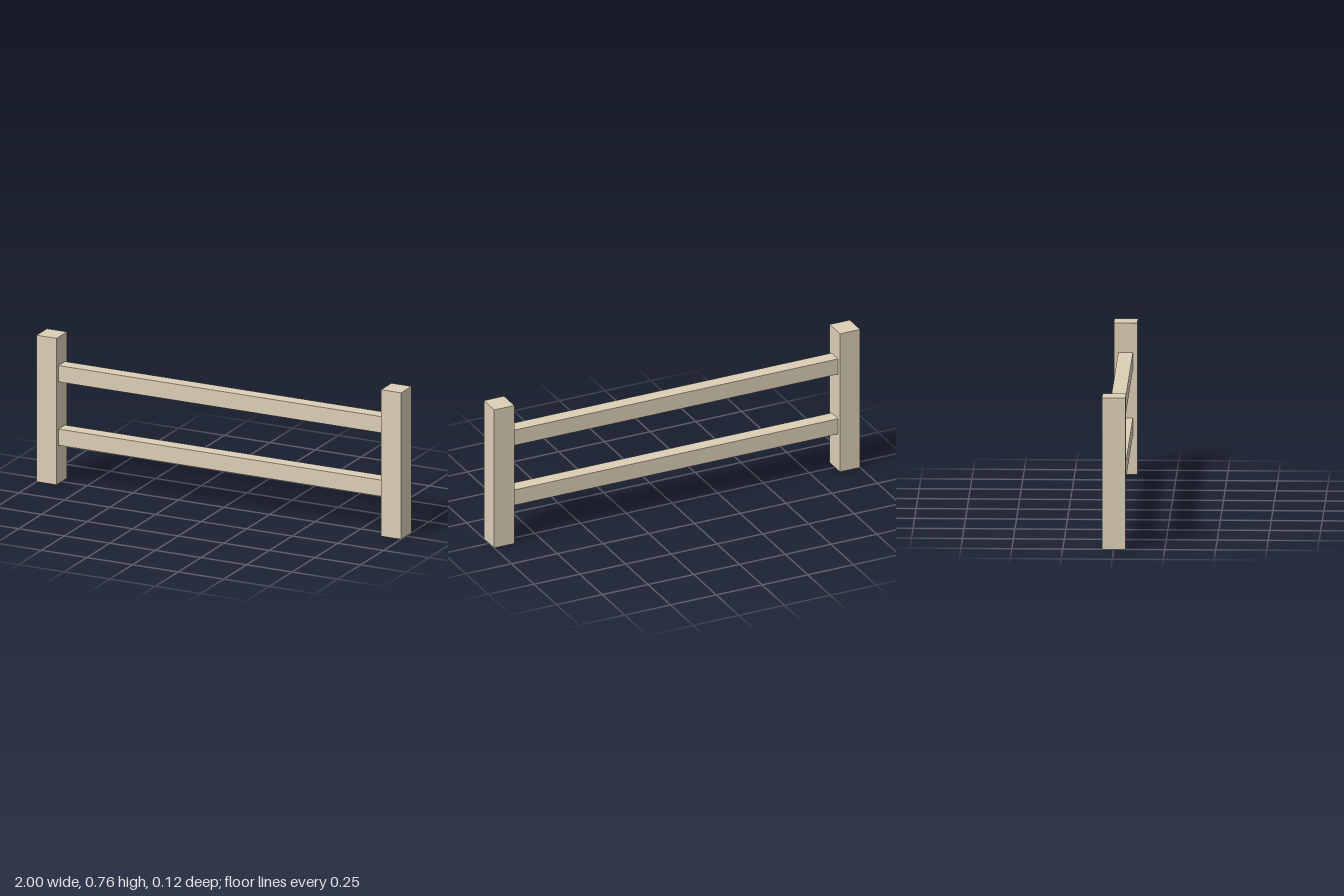
import * as THREE from 'three';

const POST = { width: 0.11, height: 0.757, depth: 0.115 };
const RAIL = { height: 0.084, depth: 0.072 };

export function createModel() {
  const fence = new THREE.Group();
  fence.name = 'fence';
  const wood = new THREE.MeshStandardMaterial({ color: 0xdccfb6, flatShading: true });

  const addBeam = (name, size, position) => {
    const beam = new THREE.Mesh(new THREE.BoxGeometry(...size), wood);
    beam.name = name;
    beam.position.set(...position);
    fence.add(beam);
  };

  // Square end posts
  for (const [name, side] of [['leftPost', 1], ['rightPost', -1]]) {
    addBeam(name, [POST.width, POST.height, POST.depth],
      [side * (1 - POST.width / 2), POST.height / 2, 0]);
  }

  // Horizontal rails spanning between the inner post faces
  const span = 2 - 2 * POST.width;
  for (const [name, y] of [['lowerRail', 0.24], ['upperRail', 0.568]]) {
    addBeam(name, [span, RAIL.height, RAIL.depth], [0, y, 0]);
  }

  return fence;
}
